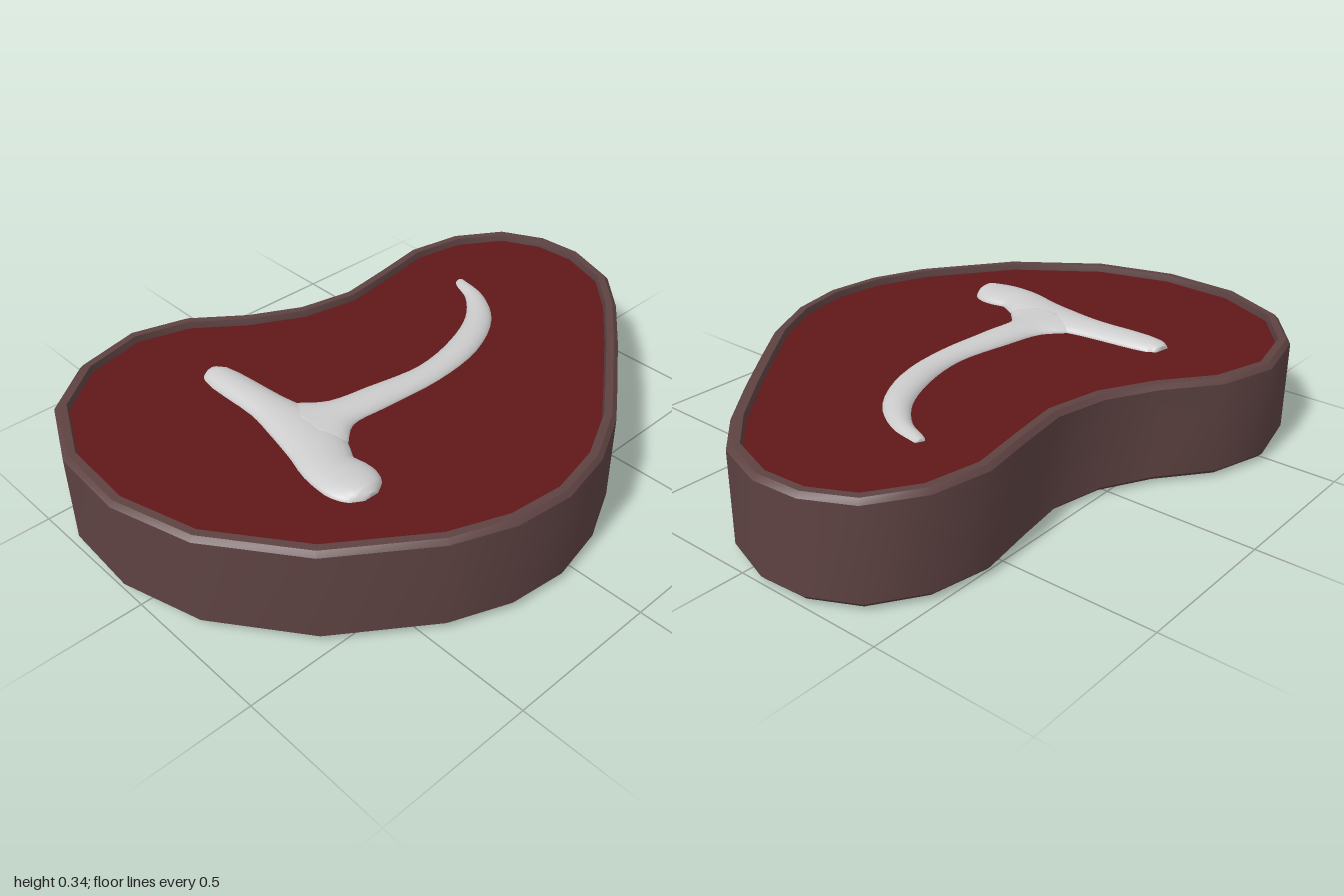
import * as THREE from 'three';
import { toCreasedNormals } from 'three/addons/utils/BufferGeometryUtils.js';

// steak outline seen from above, as [x, z]
const OUTLINE = [
  [-0.08, -1], [0.1, -0.94], [0.235, -0.815], [0.375, -0.645], [0.51, -0.47], [0.63, -0.31],
  [0.72, -0.13], [0.76, 0.06], [0.74, 0.25], [0.665, 0.44], [0.46, 0.725], [0.185, 0.925],
  [-0.08, 1], [-0.345, 0.985], [-0.575, 0.875], [-0.71, 0.7], [-0.76, 0.48], [-0.705, 0.29],
  [-0.58, 0.13], [-0.495, -0.03], [-0.46, -0.205], [-0.485, -0.385], [-0.515, -0.57],
  [-0.48, -0.76], [-0.38, -0.915], [-0.235, -0.99],
];
const MID = 0.171; // middle height of the slab

// outline moved inward by d, with mitred corners
function inset(d) {
  const n = OUTLINE.length;
  const normal = (p, q) => {
    const l = Math.hypot(q[0] - p[0], q[1] - p[1]);
    return [-(q[1] - p[1]) / l, (q[0] - p[0]) / l];
  };
  return OUTLINE.map((p, i) => {
    const a = normal(OUTLINE[(i + n - 1) % n], p);
    const b = normal(p, OUTLINE[(i + 1) % n]);
    const k = d / (1 + a[0] * b[0] + a[1] * b[1]);
    return [p[0] + (a[0] + b[0]) * k, p[1] + (a[1] + b[1]) * k];
  });
}

// skin over a list of closed rings of [x, y, z] points
function loft(rings, wrap) {
  const n = rings[0].length, m = rings.length, index = [];
  for (let i = 0; i < (wrap ? m : m - 1); i++) {
    for (let j = 0; j < n; j++) {
      const k = (j + 1) % n, r = ((i + 1) % m) * n;
      const a = i * n + j, b = i * n + k, c = r + j, d = r + k;
      index.push(a, c, b, b, c, d);
    }
  }
  const geo = new THREE.BufferGeometry();
  geo.setAttribute('position', new THREE.Float32BufferAttribute(rings.flat(2), 3));
  geo.setIndex(index);
  geo.computeVertexNormals();
  return geo;
}

// bone arm through the slab: points are [x, z, half width]; both faces are domed
function boneArm(points, steps) {
  const curve = new THREE.CatmullRomCurve3(points.map((p) => new THREE.Vector3(p[0], p[2], p[1])), false, 'centripetal');
  const rings = [];
  const addRing = (t, scale) => {
    const p = curve.getPoint(t), dir = curve.getTangent(t).setY(0).normalize();
    const w = p.y * scale, dome = 0.01 + 0.03 * Math.min(1, p.y / 0.06);
    const ring = [];
    for (let j = 0; j < 20; j++) {
      const a = ((j + 0.5) / 20) * Math.PI * 2, s = Math.sin(a), c = Math.cos(a) * w;
      ring.push([p.x - dir.z * c, MID + Math.sign(s) * 0.13 + s * dome, p.z + dir.x * c]);
    }
    rings.push(ring);
  };
  addRing(0, 0.001);
  for (let i = 0; i <= steps; i++) addRing(i / steps, 1);
  addRing(1, 0.001);
  return loft(rings, false);
}

export function createModel() {
  const group = new THREE.Group();
  const add = (name, geo, color) => {
    const mesh = new THREE.Mesh(geo, new THREE.MeshStandardMaterial({ color }));
    mesh.name = name;
    group.add(mesh);
  };

  // outer crust: bevelled band with a raised lip on both faces
  const profile = [
    [0, 0.025], [0, 0.318], [0.014, 0.333], [0.038, 0.333], [0.044, 0.305],
    [0.044, 0.037], [0.038, 0.01], [0.014, 0.01],
  ];
  const rings = profile.map(([d, y]) => inset(d).map(([x, z]) => [x, y, z]));
  add('crust', toCreasedNormals(loft(rings, true), 0.7), 0x5e4242);

  // meat filling, slightly recessed on both faces
  const shape = new THREE.Shape(inset(0.04).map(([x, z]) => new THREE.Vector2(x, -z)));
  const meat = new THREE.ExtrudeGeometry(shape, { depth: 0.28, bevelEnabled: false });
  meat.rotateX(-Math.PI / 2).translate(0, MID - 0.14, 0);
  add('meat', meat, 0x601818);

  // T-shaped bone: curved shaft and knobbed crossbar
  add('boneShaft', boneArm([
    [-0.255, -0.56, 0.018], [-0.235, -0.55, 0.024], [-0.15, -0.52, 0.034], [-0.045, -0.43, 0.047],
    [0.035, -0.27, 0.053], [0.067, -0.08, 0.05], [0.047, 0.13, 0.06], [0.03, 0.26, 0.073],
    [0.025, 0.34, 0.14], [0.025, 0.38, 0.16],
  ], 36), 0xcccccc);
  add('boneCrossbar', boneArm([
    [-0.415, 0.4, 0.03], [-0.385, 0.405, 0.05], [-0.15, 0.395, 0.066], [-0.04, 0.395, 0.085],
    [0.1, 0.415, 0.095], [0.2, 0.452, 0.086], [0.29, 0.45, 0.092], [0.345, 0.45, 0.07], [0.375, 0.45, 0.028],
  ], 32), 0xcccccc);

  return group;
}
